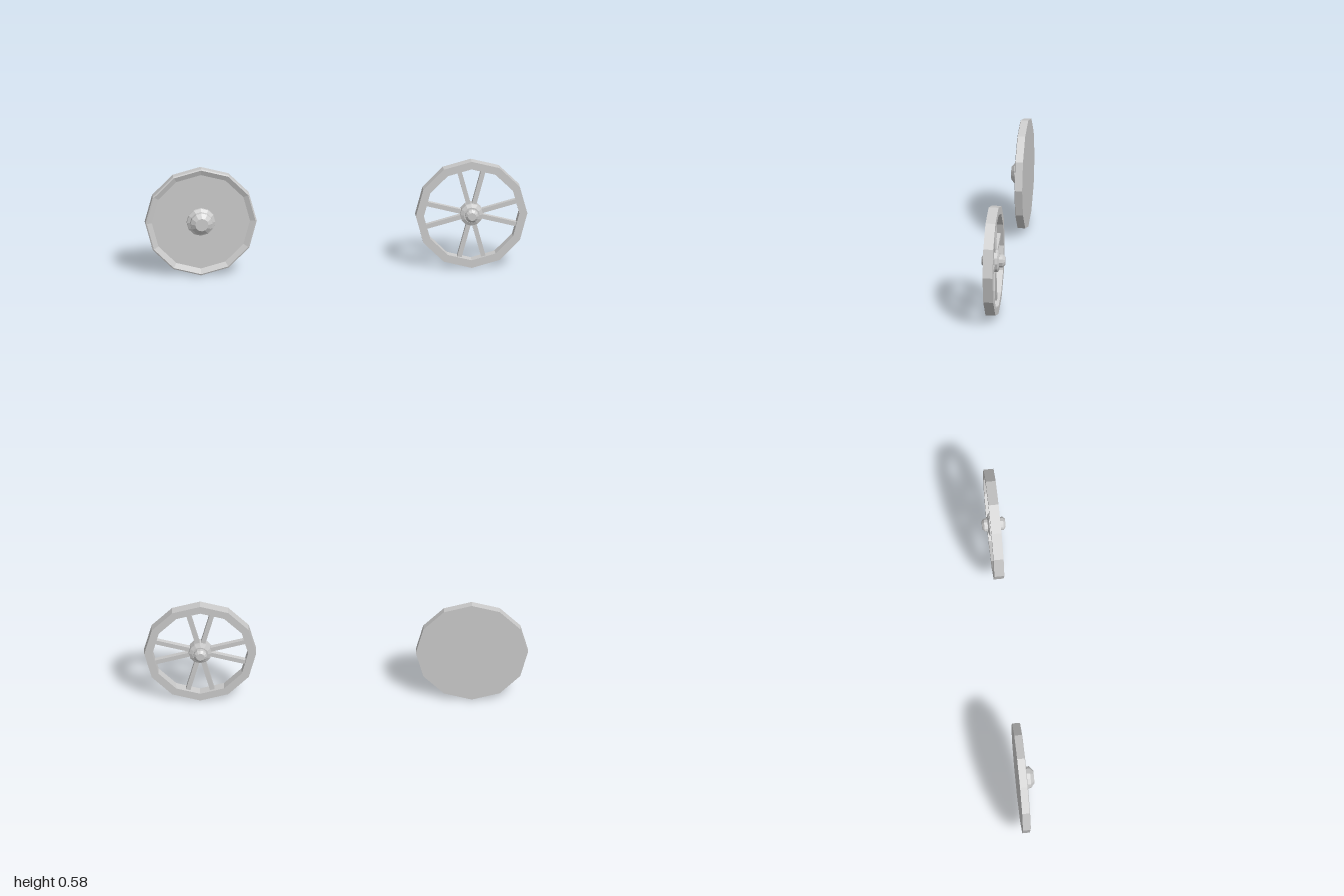
import * as THREE from 'three';

const material = new THREE.MeshStandardMaterial({ color: 0xcccccc, flatShading: true });
const RADIUS = 0.292, SIDES = 12;

// Turned part: [radius, z] profile, listed from back to front, spun around the z axis
function turned(name, profile, sides = SIDES) {
  const geometry = new THREE.LatheGeometry(profile.map(([r, z]) => new THREE.Vector2(r, z)), sides);
  geometry.rotateX(Math.PI / 2);
  const mesh = new THREE.Mesh(geometry, material);
  mesh.name = name;
  return mesh;
}

// Solid wheel: flat back, dished front with a raised rim
function createSolidWheel() {
  const wheel = new THREE.Group();
  wheel.name = 'solidWheel';
  wheel.add(turned('disc', [
    [0, -0.025], [RADIUS, -0.025], [RADIUS, 0.014], [0.285, 0.017], [0.257, 0.006], [0, 0.006],
  ]));
  wheel.add(turned('solidHub', [
    [0.076, 0.004], [0.074, 0.014], [0.059, 0.023], [0.058, 0.043], [0.034, 0.062], [0, 0.062],
  ]));
  return wheel;
}

// Spoked wheel: open rim, paired spokes and a hub with a cap on each side
function createSpokedWheel() {
  const wheel = new THREE.Group();
  wheel.name = 'spokedWheel';
  const d = 0.026;
  wheel.add(turned('rim', [[0.25, -d], [RADIUS, -d], [RADIUS, d], [0.25, d], [0.25, -d]]));
  wheel.add(turned('hub', [
    [0, -0.032], [0.042, -0.032], [0.06, -0.024], [0.06, 0.024], [0.042, 0.032], [0, 0.032],
  ]));
  wheel.add(turned('hubCaps', [
    [0, -0.061], [0.022, -0.061], [0.035, -0.05], [0.035, 0.05], [0.022, 0.061], [0, 0.061],
  ]));

  // Two spokes straddle each of the four main directions
  const inner = 0.03, outer = 0.255;
  for (let quarter = 0; quarter < 4; quarter++) {
    for (const side of [-1, 1]) {
      const geometry = new THREE.BoxGeometry(outer - inner, 0.024, 0.024);
      geometry.translate((outer + inner) / 2, 0, 0);
      const spoke = new THREE.Mesh(geometry, material);
      spoke.name = 'spoke';
      spoke.rotation.z = quarter * Math.PI / 2 + side * Math.PI / 12;
      wheel.add(spoke);
    }
  }
  return wheel;
}

export function createModel() {
  const model = new THREE.Group();
  model.name = 'wheelPair';
  const solid = createSolidWheel();
  const spoked = createSpokedWheel();
  solid.position.set(RADIUS - 1, RADIUS, 0);
  spoked.position.set(1 - RADIUS, RADIUS, 0);
  model.add(solid, spoked);
  return model;
}
